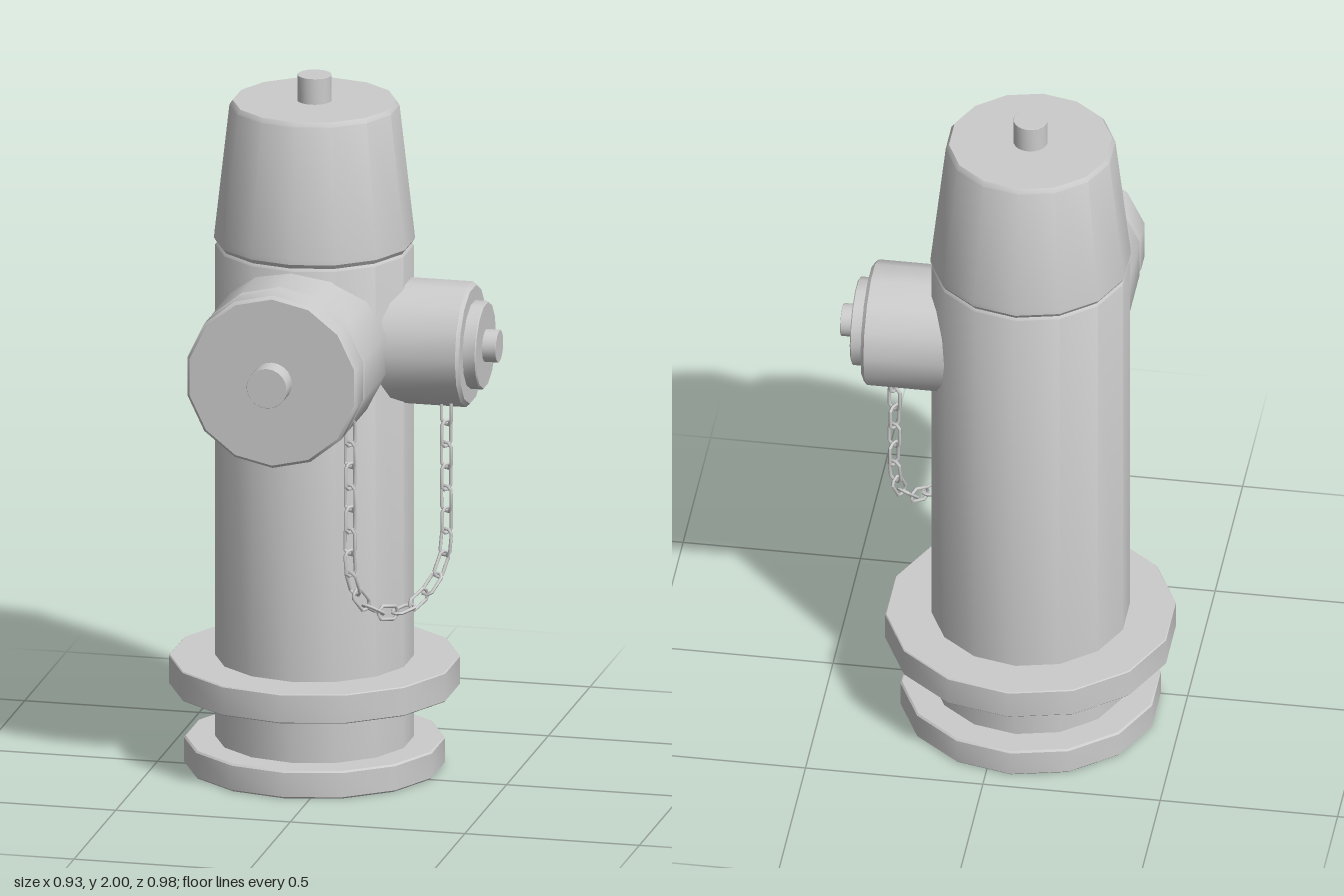
import * as THREE from 'three';
import { toCreasedNormals } from 'three/addons/utils/BufferGeometryUtils.js';

const material = new THREE.MeshStandardMaterial({ color: 0xcccccc });
const AXIS_X = -0.07, AXIS_Z = -0.083;

// Turned part from [radius, height] pairs, listed from bottom to top
function turned(name, profile, sides = 14) {
  const points = profile.map(([r, y]) => new THREE.Vector2(r, y));
  const geometry = toCreasedNormals(new THREE.LatheGeometry(points, sides), 0.6);
  const mesh = new THREE.Mesh(geometry, material);
  mesh.name = name;
  return mesh;
}

// Closed disc with bevelled rims
function disc(name, r, y0, y1, bevel, sides = 14) {
  return turned(name, [
    [0, y0], [r - bevel, y0], [r, y0 + bevel], [r, y1 - bevel], [r - bevel, y1], [0, y1],
  ], sides);
}

// Octagonal chain link, stretched along y
function linkGeometry() {
  const geometry = new THREE.TorusGeometry(0.02, 0.005, 6, 8);
  geometry.rotateZ(Math.PI / 8);
  const p = geometry.attributes.position;
  for (let i = 0; i < p.count; i++) p.setY(i, p.getY(i) + Math.sign(p.getY(i)) * 0.018);
  geometry.computeVertexNormals();
  return geometry;
}

// Chain hanging in a U between the two outlets
function buildChain() {
  const chain = new THREE.Group();
  chain.name = 'chain';
  const a = new THREE.Vector3(0.13, 0, 0.325), b = new THREE.Vector3(0.325, 0, -0.01);
  const middle = a.clone().add(b).multiplyScalar(0.5);
  const half = b.clone().sub(a).multiplyScalar(0.5);
  const side = half.clone().normalize().cross(new THREE.Vector3(0, 1, 0));
  const at = (s, y) => middle.clone().addScaledVector(half, s).setY(y);

  const points = [at(-1, 1.12), at(-1, 0.98), at(-1, 0.84)];
  for (let i = 0; i <= 8; i++) {
    const t = (i / 8) * Math.PI;
    points.push(at(-Math.cos(t), 0.71 - 0.18 * Math.sin(t)));
  }
  points.push(at(1, 0.84), at(1, 0.98), at(1, 1.1));
  const path = new THREE.CatmullRomCurve3(points);

  const geometry = linkGeometry();
  const count = 22;
  for (let i = 0; i < count; i++) {
    const u = (i + 0.5) / count;
    const tangent = path.getTangentAt(u);
    const across = new THREE.Vector3().crossVectors(tangent, side);
    const link = new THREE.Mesh(geometry, material);
    link.name = 'chainLink';
    link.quaternion.setFromRotationMatrix(new THREE.Matrix4().makeBasis(across, tangent, side));
    if (i % 2) link.rotateY(Math.PI / 2);
    link.position.copy(path.getPointAt(u));
    chain.add(link);
  }
  return chain;
}

export function createModel() {
  const model = new THREE.Group();
  model.name = 'hydrant';

  // Upright parts share the barrel axis
  const upright = new THREE.Group();
  upright.name = 'barrelAssembly';
  upright.position.set(AXIS_X, 0, AXIS_Z);
  upright.add(
    disc('base', 0.364, 0, 0.08, 0.005),
    disc('flange', 0.406, 0.23, 0.315, 0.003),
    turned('barrel', [[0, 0.04], [0.277, 0.04], [0.277, 1.505], [0.27, 1.515], [0, 1.515]]),
    turned('bonnet', [
      [0, 1.51], [0.27, 1.51], [0.28, 1.525], [0.279, 1.54],
      [0.237, 1.912], [0.228, 1.925], [0, 1.925],
    ]),
    disc('topNut', 0.048, 1.9, 2, 0.001, 20),
  );
  model.add(upright);

  // Large outlet facing the front, with a groove behind its cap
  const front = new THREE.Group();
  front.name = 'frontOutlet';
  front.position.set(AXIS_X, 1.25, 0);
  front.rotation.x = Math.PI / 2;
  front.add(
    turned('frontNozzle', [
      [0, 0], [0.25, 0], [0.25, 0.33], [0.236, 0.343], [0.25, 0.356],
      [0.25, 0.42], [0.241, 0.429], [0, 0.429],
    ]),
    disc('frontNut', 0.058, 0.41, 0.49, 0.001, 20),
  );
  model.add(front);

  // Small outlet on the left side, with a stepped cap
  const side = new THREE.Group();
  side.name = 'sideOutlet';
  side.position.set(0, 1.248, -0.078);
  side.rotation.z = -Math.PI / 2;
  side.add(
    disc('sideNozzle', 0.176, 0, 0.385, 0.01),
    disc('sideCap', 0.124, 0.36, 0.422, 0.003),
    disc('sideNut', 0.046, 0.4, 0.461, 0.001, 20),
  );
  model.add(side);

  model.add(buildChain());
  return model;
}
